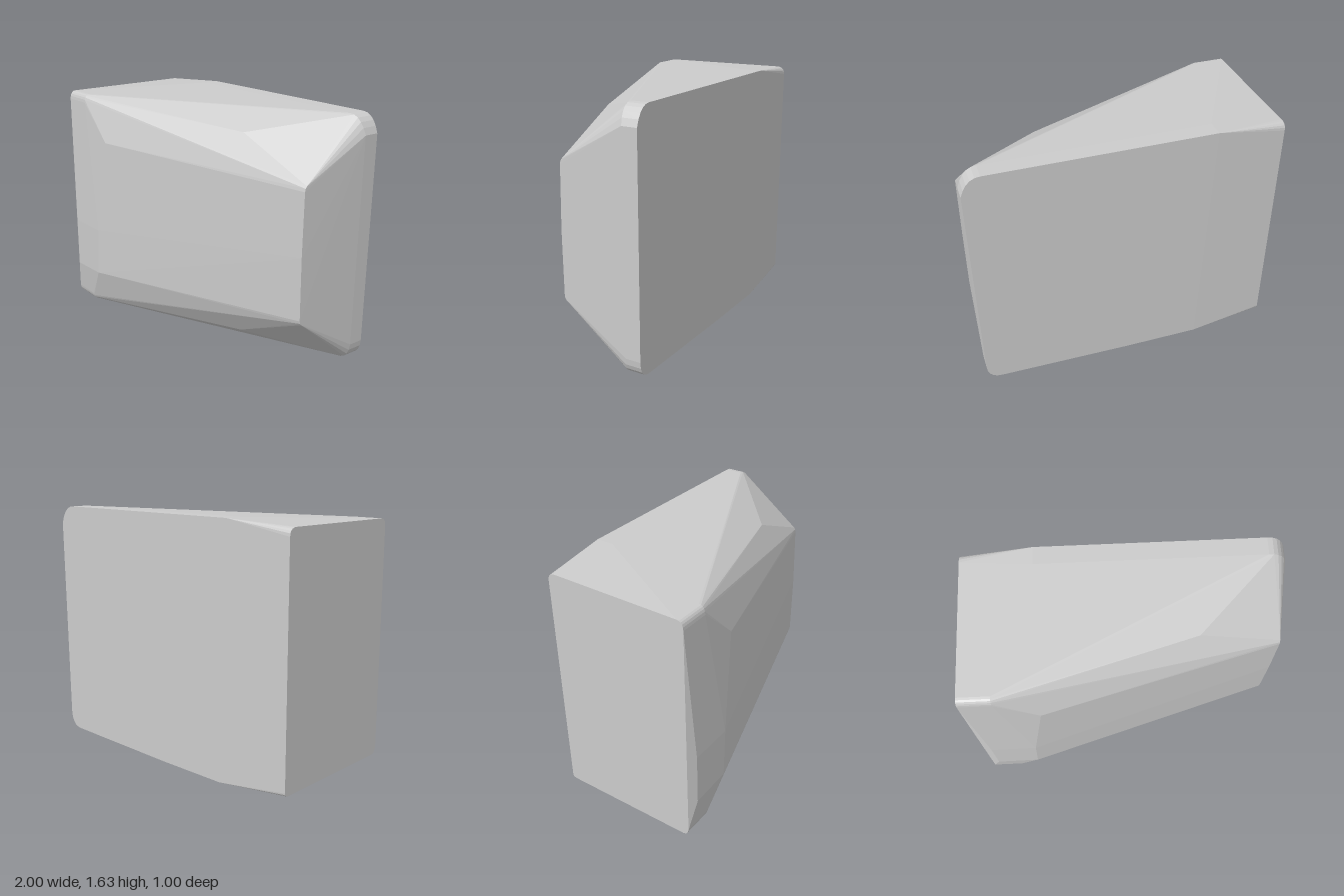
import * as THREE from 'three';
import { ConvexGeometry } from 'three/addons/geometries/ConvexGeometry.js';

const v = (x, y, z) => new THREE.Vector3(x, y, z);

// Rounded corner from a to b, bulging towards c
const fillet = (a, c, b, steps = 5) =>
  new THREE.QuadraticBezierCurve3(v(...a), v(...c), v(...b)).getPoints(steps);

export function createModel() {
  const group = new THREE.Group();
  const points = [];

  // Front edges, top and bottom, rounded along the thick end
  for (const x of [-1, -0.8]) {
    points.push(...fillet([x, 1.54, 0.472], [x, 1.595, 0.47], [x, 1.595, 0.43]));
    points.push(...fillet([x, 0.1, 0.472], [x, 0.055, 0.465], [x, 0.052, 0.43]));
  }

  // Shallow raised pad on the front of the thick end
  points.push(
    v(-0.94, 0.31, 0.502), v(-0.66, 0.32, 0.502),
    v(-0.94, 0.65, 0.502), v(-0.64, 0.65, 0.5),
    v(-0.54, 1.3, 0.47), v(-1, 0.31, 0.472)
  );

  // Back edges of the thick end
  points.push(...fillet([-1, 1.55, -0.485], [-1, 1.6, -0.485], [-1, 1.6, -0.43]));
  points.push(...fillet([-1, 0.075, -0.485], [-1, 0.05, -0.485], [-1, 0.05, -0.45]));

  // Back slab, with rounded corners at the thin end
  for (const z of [-0.5, -0.385]) {
    points.push(v(-0.55, 1.627, z), v(-0.5, 0.002, z), v(0, 0.003, z));
    points.push(...fillet([0.88, 1.628, z], [0.965, 1.628, z], [1, 1.51, z - (z > -0.45 ? 0.015 : 0)]));
    points.push(...fillet([0.88, 0.02, z], [0.975, 0.02, z], [0.98, 0.13, z - (z > -0.45 ? 0.015 : 0)]));
  }

  // Front edge of the thin end
  points.push(...fillet([0.965, 1.235, 0.047], [0.965, 1.27, 0.045], [0.965, 1.275, 0.02], 3));
  points.push(...fillet([0.963, 0.42, 0.047], [0.963, 0.39, 0.045], [0.963, 0.385, 0.02], 3));
  points.push(v(0.965, 0.83, 0.053));

  // Knuckles of the long sloping chamfers
  points.push(v(0.44, 1.495, 0.07), v(0.44, 0.165, 0.07));

  const body = new THREE.Mesh(
    new ConvexGeometry(points),
    new THREE.MeshStandardMaterial({ color: 0xcccccc, flatShading: true })
  );
  body.name = 'wedgeBlock';
  group.add(body);
  return group;
}
